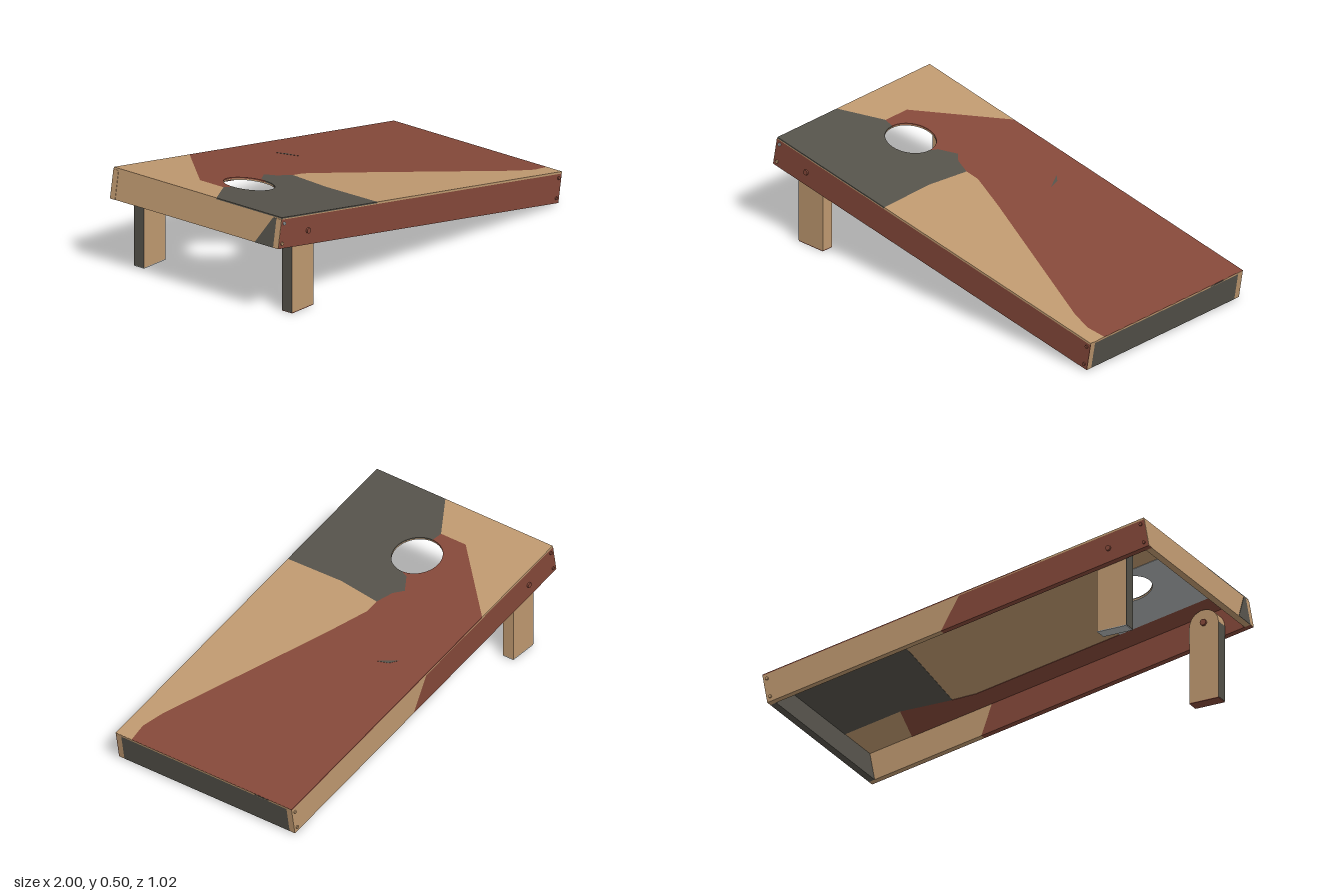
import * as THREE from 'three';

const paint = (name, hex) => {
  const m = new THREE.MeshStandardMaterial({ color: hex });
  m.name = name;
  return m;
};

export function createModel() {
  const tan = paint('tan paint', 0xbe986f);
  const red = paint('brick red paint', 0x844839);
  const dark = paint('charcoal paint', 0x55524a);
  const grey = paint('light grey paint', 0xb0b4b5);

  const model = new THREE.Group();
  model.name = 'tossBoard';
  const board = new THREE.Group();
  board.name = 'slopedBox';
  board.position.y = 0.256;
  board.rotation.z = -0.1763;
  model.add(board);

  const L = 1.0, H = 0.074, W = 0.5, T = 0.01, RAIL = 0.03;
  const holeX = -0.635, holeR = 0.118;

  const add = (parent, name, geometry, material, x = 0, y = 0, z = 0) => {
    const mesh = new THREE.Mesh(geometry, material);
    mesh.name = name;
    mesh.position.set(x, y, z);
    parent.add(mesh);
    return mesh;
  };
  const box = (parent, name, w, h, d, material, x, y, z) =>
    add(parent, name, new THREE.BoxGeometry(w, h, d), material, x, y, z);
  const poly = (pts) => new THREE.Shape(pts.map(([x, y]) => new THREE.Vector2(x, y)));
  const extrude = (shape, depth) =>
    new THREE.ExtrudeGeometry(shape, { depth, bevelEnabled: false, curveSegments: 24 });
  // Shapes drawn as (x, -z) and laid flat
  const flat = (shape, depth) => extrude(shape, depth).rotateX(-Math.PI / 2);
  const holed = (shape) => {
    shape.holes.push(new THREE.Path().absarc(holeX, 0, holeR, 0, Math.PI * 2, true));
    return shape;
  };
  const lines = (shape, pts) => pts.forEach(([x, y]) => shape.lineTo(x, y));

  // Top sheet core with the round hole
  const coat = 0.006, film = 0.002;
  add(board, 'topSheet', flat(holed(poly([[-L, -W], [L, -W], [L, W], [-L, W]])), T - coat), tan, 0, H - T, 0);

  // Four painted fields cover the top and its edges, sharing their seams
  const field = (name, shape, material) =>
    add(board, name, flat(shape, coat), material, 0, H - coat, 0);
  const highSeam = [[-0.805, 0.15], [-0.805, 0.01]];
  const holeSeam = [[-0.5, 0.04], [-0.42, 0.09], [-0.38, 0.05], [-0.298, 0.02]];
  const longSeam = [[-0.225, 0.02], [-0.145, -0.01], [-0.013, -0.06], [0.79, -0.39], [0.9, -0.42], [L, -0.41]];

  const redTop = new THREE.Shape();
  redTop.moveTo(-0.46, W);
  lines(redTop, highSeam);
  redTop.absarc(holeX, 0, holeR, Math.PI, 0, true);
  lines(redTop, [...holeSeam, ...longSeam, [L, W]]);
  field('redTopField', redTop, red);

  const darkTop = new THREE.Shape();
  darkTop.moveTo(-L, -0.11);
  lines(darkTop, [[-0.805, 0.01]]);
  darkTop.absarc(holeX, 0, holeR, Math.PI, Math.PI * 2, false);
  lines(darkTop, [...holeSeam, [-0.325, -0.2], [-0.318, -W], [-L, -W]]);
  field('darkTopField', darkTop, dark);

  field('tanHighField', poly([[-0.46, W], ...highSeam, [-L, -0.11], [-L, W]]), tan);
  field('tanLowField', poly([[-0.298, 0.02], ...longSeam, [L, -W], [-0.318, -W], [-0.325, -0.2]]), tan);
  add(board, 'darkFleck', flat(poly([[-0.035, 0.34], [0.018, 0.25], [0, 0.31]]), 0.001), dark, 0, H, 0);

  // Bare lower edge of the top sheet with a small dark smear
  box(board, 'lowEdgeStrip', 0.001, coat, 2 * W, tan, L, H - coat / 2 - 0.001, 0);
  box(board, 'lowEdgeSmear', 0.001, coat, 0.08, dark, L + 0.001, H - coat / 2 - 0.001, -0.33);

  // Painted patches on the underside
  const under = (name, shape, material) =>
    add(board, name, flat(shape, film), material, 0, H - T - film, 0);
  const E = L - RAIL, I = W - RAIL;
  under('greyUnderHolePatch', holed(poly([[-E, -0.34], [-0.41, -0.34], [-0.42, -0.2], [-0.49, 0], [-0.57, 0.14], [-E, 0.14]])), grey);
  under('darkUnderLowPatch', poly([[E, I], [0.36, I], [0.39, 0.18], [0.45, -0.31], [0.68, -0.23], [E, -0.23]]), dark);
  under('redUnderPatch', poly([[-E, -I], [0.75, -I], [0.68, -0.23], [0.45, -0.31], [0.34, -0.34], [-E, -0.34]]), red);

  // Side rails, each split along a slant into a red and a tan length
  const top = H - T;
  const rail = (name, splitTop, splitLow, z, depth) => {
    add(board, name + 'High', extrude(poly([[-L, -H], [splitLow, -H], [splitTop, top], [-L, top]]), depth), red, 0, 0, z);
    add(board, name + 'Low', extrude(poly([[splitLow, -H], [L, -H], [L, top], [splitTop, top]]), depth), tan, 0, 0, z);
  };
  rail('frontRail', 0.33, 0.41, I, RAIL - 0.003);
  box(board, 'frontRailPaint', 2 * L, top + H, 0.003, red, 0, (top - H) / 2, W - 0.0015);
  rail('backRail', -0.03, 0.09, -W, RAIL);

  // End boards between the rails
  const endY = (top - H) / 2;
  box(board, 'lowEndBoard', RAIL, top + H, 2 * I, dark, L - RAIL / 2, endY, 0);
  box(board, 'highEndBoard', RAIL, top + H, 2 * I, tan, -L + RAIL / 2, endY, 0);
  const corner = extrude(poly([[0.36, -H], [I, -H], [I, top], [0.45, top]]), film).rotateY(-Math.PI / 2);
  add(board, 'highEndDarkCorner', corner, dark, -L, 0, 0);

  // Legs with rounded tops, pivot bolts and corner screws
  const legX = -0.79, half = 0.075, pivotY = 0.38;
  const legShape = new THREE.Shape();
  legShape.moveTo(-half, 0.004);
  legShape.lineTo(half, 0.004);
  legShape.lineTo(half, pivotY);
  legShape.absarc(0, pivotY, half, 0, Math.PI, false);
  const stud = (parent, name, r, len, material, x, y, z) =>
    add(parent, name, new THREE.CylinderGeometry(r, r, len, 12).rotateX(Math.PI / 2), material, x, y, z);

  for (const [side, s] of [['front', 1], ['back', -1]]) {
    const z = s * 0.44;
    add(model, side + 'Leg', extrude(legShape, 0.06), tan, legX, 0, z - 0.03);
    box(model, side + 'LegDarkFace', 0.002, pivotY - 0.004, 0.06, dark, legX - half - 0.001, pivotY / 2 + 0.002, z);
    box(model, side + 'LegFoot', 2 * half, 0.004, 0.06, s > 0 ? red : grey, legX, 0.002, z);
    stud(model, side + 'PivotBolt', 0.013, 0.008, red, legX, 0.39, s * (W + 0.004));
    stud(model, side + 'PivotNut', 0.016, 0.01, red, legX, 0.39, s * 0.405);
    box(board, side + 'RailHighGrain', 0.002, top + H, RAIL, tan, -L - 0.001, endY, s * (W - RAIL / 2));
    for (const y of [-0.05, 0.045]) {
      const highPaint = s < 0 ? red : y > 0 ? grey : tan;
      stud(board, side + 'HighScrew', 0.008, 0.006, highPaint, -0.98, y, s * (W + 0.003));
      stud(board, side + 'LowScrew', 0.008, 0.006, s > 0 ? red : tan, 0.98, y, s * (W + 0.003));
    }
  }
  // Grey scuff on the rounded shoulder of the front leg
  box(model, 'frontLegScuff', 0.002, 0.08, 0.06, grey, legX + half + 0.001, 0.34, 0.44);
  return model;
}
